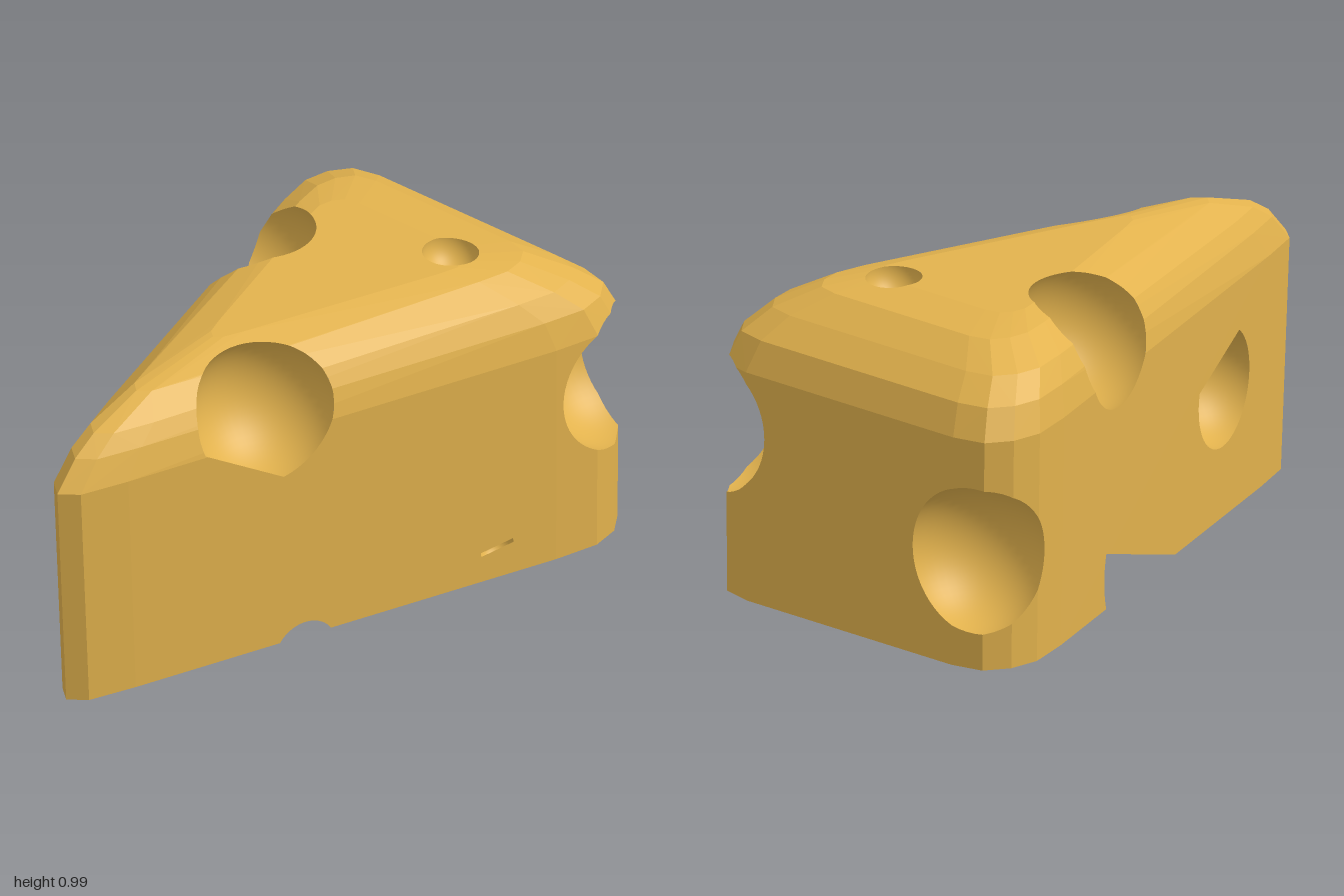
import * as THREE from 'three';
import { ConvexGeometry } from 'three/addons/geometries/ConvexGeometry.js';

const V = (x, y, z) => new THREE.Vector3(x, y, z);

// Half outline of the wedge as [x, z], from the tip to the back
const outline = [[0, 1], [0.055, 0.955], [0.11, 0.8], [0.56, -0.65],
  [0.595, -0.8], [0.578, -0.9], [0.525, -0.975], [0.42, -1]];

// Rings from the base up: height, width scale, tip z, back z, drop of the tip
const rings = [[0, 0.985, 0.96, -1, 0], [0.74, 1, 1, -1, 0], [0.835, 0.95, 0.92, -0.955, 0.005],
  [0.903, 0.85, 0.835, -0.87, 0.02], [0.965, 0.65, 0.64, -0.76, 0.018], [0.985, 0.47, 0.29, -0.6, 0]];

// Round holes; each lip [a, b, c] keeps the opening to a*z + b*y < c
const holes = [
  { name: 'rightUpperHole', at: V(0.25, 0.82, 0.32), r: 0.238, lips: [[0.589, -1, -0.428]] },
  { name: 'leftUpperHole', at: V(-0.34, 0.845, -0.28), r: 0.235 },
  { name: 'backRightCornerHole', at: V(0.56, 0.54, -0.91), r: 0.233 },
  { name: 'backLeftCornerHole', at: V(-0.49, 0.35, -0.98), r: 0.235 },
  { name: 'topHole', at: V(0.2, 0.98, -0.57), r: 0.087 },
  { name: 'leftFrontHole', at: V(-0.205, 0.42, 0.49), r: 0.188, lips: [[-0.39, 1, 0.343]] },
  { name: 'leftBottomHole', at: V(-0.3, 0.1, -0.1), r: 0.295, lips: [[0.369, 1, 0.057]] },
  { name: 'rightBottomHole', at: V(0.27, -0.06, 0.185), r: 0.11 },
  { name: 'rightSlit', at: V(0.495, 0.105, -0.455), r: 0.058,
    lips: [[0.18, 1, 0.03], [-0.18, -1, -0.016]] },
];

// Keep the part of a convex polygon where n.p <= c
function clip(poly, n, c) {
  const d = poly.map((p) => n.dot(p) - c);
  if (d.every((v) => v <= 1e-7)) return poly;
  const out = [];
  poly.forEach((p, i) => {
    const j = (i + 1) % poly.length;
    if (d[i] <= 0) out.push(p);
    if ((d[i] < 0 && d[j] > 0) || (d[i] > 0 && d[j] < 0)) {
      out.push(p.clone().lerp(poly[j], d[i] / (d[i] - d[j])));
    }
  });
  return out.length > 2 ? out : [];
}

// Triangles of a non-indexed geometry as point triples
function triangles(geometry) {
  const pos = geometry.getAttribute('position');
  const list = [];
  for (let i = 0; i < pos.count; i += 3) {
    const t = [0, 1, 2].map((k) => new THREE.Vector3().fromBufferAttribute(pos, i + k));
    const n = t[1].clone().sub(t[0]).cross(t[2].clone().sub(t[0]));
    if (n.length() > 1e-8) list.push({ poly: t, n: n.normalize(), c: n.dot(t[0]) });
  }
  return list;
}

// Mesh from convex polygons, with a normal given for each point
function polygonMesh(name, polys, normalAt, material) {
  const pos = [], nor = [];
  polys.forEach((poly, i) => {
    for (let k = 1; k < poly.length - 1; k++) {
      for (const p of [poly[0], poly[k], poly[k + 1]]) {
        pos.push(p.x, p.y, p.z);
        nor.push(...normalAt(p, i).toArray());
      }
    }
  });
  const g = new THREE.BufferGeometry();
  g.setAttribute('position', new THREE.Float32BufferAttribute(pos, 3));
  g.setAttribute('normal', new THREE.Float32BufferAttribute(nor, 3));
  const mesh = new THREE.Mesh(g, material);
  mesh.name = name;
  return mesh;
}

// Opening that a hole makes in the plane n.p = c
function opening(hole, n, c) {
  const d = n.dot(hole.at) - c;
  if (Math.abs(d) >= hole.r) return [];
  const rad = Math.sqrt(hole.r ** 2 - d ** 2);
  const mid = hole.at.clone().addScaledVector(n, -d);
  const u = (Math.abs(n.y) > 0.9 ? V(1, 0, 0) : V(0, 1, 0)).cross(n).normalize();
  const w = n.clone().cross(u);
  let ring = [];
  for (let i = 0; i < 56; i++) {
    const a = (i / 56) * Math.PI * 2;
    ring.push(mid.clone().addScaledVector(u, rad * Math.cos(a)).addScaledVector(w, rad * Math.sin(a)));
  }
  for (const [a, b, e] of hole.lips ?? []) ring = clip(ring, V(0, b, a), e);
  return ring;
}

// Convex polygon minus the convex opening, as convex pieces
function cut(poly, ring, n) {
  const pieces = [];
  let rest = poly;
  for (let i = 0; i < ring.length && rest.length; i++) {
    const a = ring[i];
    const out = ring[(i + 1) % ring.length].clone().sub(a).cross(n);
    if (out.length() < 1e-7) continue;
    out.normalize();
    const c = out.dot(a);
    const outside = clip(rest, out.clone().negate(), -c);
    if (outside.length) pieces.push(outside);
    rest = clip(rest, out, c);
  }
  return rest.length ? pieces : [poly];
}

export function createModel() {
  const group = new THREE.Group();
  group.name = 'cheeseWedge';
  const cheese = new THREE.MeshStandardMaterial({ color: 0xe2b24d });
  cheese.name = 'cheese yellow';

  // Rounded wedge
  const points = [];
  for (const [y, s, tip, back, drop] of rings) {
    for (const [x, z] of outline) {
      const pz = back + ((z + 1) / 2) * (tip - back);
      const py = y - (z > 0.7 ? drop : 0);
      points.push(V(x * s, py, pz));
      if (x > 0) points.push(V(-x * s, py, pz));
    }
  }
  const faces = triangles(new ConvexGeometry(points));

  // Skin with the openings cut out
  const skin = [], normals = [];
  for (const { poly, n, c } of faces) {
    let pieces = [poly];
    for (const hole of holes) {
      const ring = opening(hole, n, c);
      if (ring.length) pieces = pieces.flatMap((p) => cut(p, ring, n));
    }
    for (const p of pieces) {
      skin.push(p);
      normals.push(n);
    }
  }
  group.add(polygonMesh('wedgeBody', skin, (p, i) => normals[i], cheese));

  // Hollow bowls, trimmed to the inside of the wedge
  for (const hole of holes) {
    const ball = new THREE.SphereGeometry(hole.r * 1.002, 48, 32).toNonIndexed();
    ball.translate(hole.at.x, hole.at.y, hole.at.z);
    const polys = [];
    for (const t of triangles(ball)) {
      let poly = [...t.poly].reverse();
      for (const f of faces) {
        poly = clip(poly, f.n, f.c);
        if (!poly.length) break;
      }
      if (poly.length) polys.push(poly);
    }
    group.add(polygonMesh(hole.name, polys, (p) => hole.at.clone().sub(p).normalize(), cheese));
  }
  return group;
}
